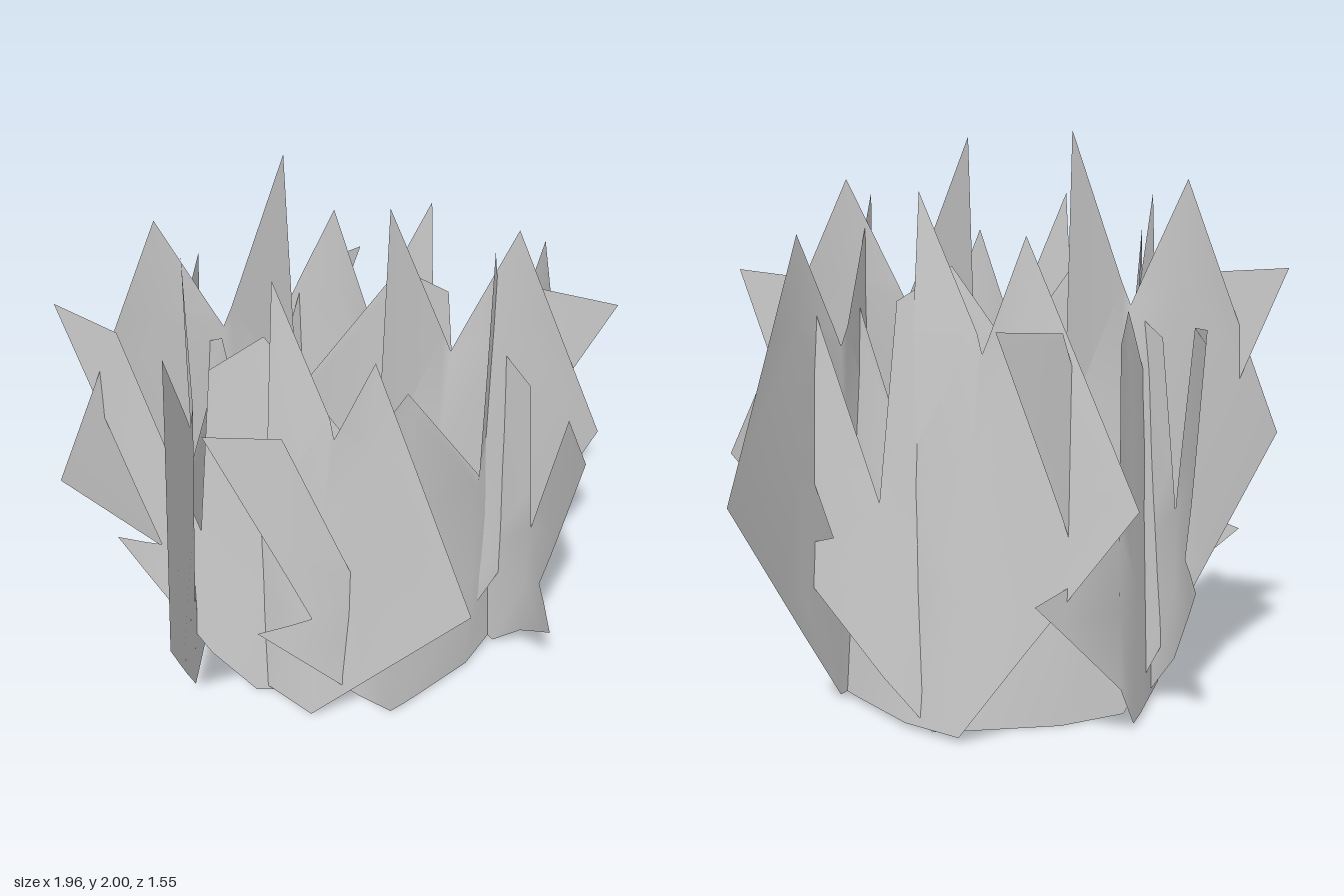
import * as THREE from 'three';
import { mergeVertices } from 'three/addons/utils/BufferGeometryUtils.js';

// Jagged leaf outline (across, up), anticlockwise from the base
const OUTLINE = [
  [-0.34, 0], [0.34, 0], [0.98, 0.94], [0.57, 1.85], [0.37, 1.43], [0.14, 2], [0.11, 1.04],
  [-0.25, 1.57], [-0.43, 1.46], [-0.5, 0.8], [-0.72, 1.53], [-0.93, 1.55], [-0.65, 0.66], [-0.82, 0.6],
];
// Bend of the leaf seen from above (across, outward at the base, inward lean per unit of height)
const BEND = [
  [-0.93, -0.09, 0.02], [-0.72, 0.068, 0.01], [-0.5, 0.235, 0.025], [-0.25, 0.265, 0.046],
  [0.1, 0.285, 0.022], [0.34, 0.228, 0.07], [0.57, 0.152, 0.025], [0.98, 0.005, 0.03],
];
const BANDS = [0, 0.5, 1, 1.5, 2];

// Outward position of a point: bend across, lean going up
function outward(u, y) {
  let i = 0;
  while (i < BEND.length - 2 && u > BEND[i + 1][0]) i++;
  const [a, wa, la] = BEND[i], [b, wb, lb] = BEND[i + 1];
  const t = (u - a) / (b - a);
  return wa + (wb - wa) * t - (la + (lb - la) * t) * y;
}

// Keep the part of a polygon on one side of a line across an axis (0 across, 1 up)
function clip(poly, axis, at, sign) {
  const out = [];
  poly.forEach((p, i) => {
    const q = poly[(i + 1) % poly.length];
    const dp = (p[axis] - at) * sign, dq = (q[axis] - at) * sign;
    if (dp >= 0) out.push(p);
    if ((dp > 0 && dq < 0) || (dp < 0 && dq > 0)) {
      const t = dp / (dp - dq);
      const cut = [p[0] + (q[0] - p[0]) * t, p[1] + (q[1] - p[1]) * t];
      cut[axis] = at;
      out.push(cut);
    }
  });
  return out;
}

// Cut the outline into cells along the bend and height, and fill each one
function leafGeometry() {
  const pos = [];
  for (let i = 0; i < BEND.length - 1; i++) {
    const strip = clip(clip(OUTLINE, 0, BEND[i][0], 1), 0, BEND[i + 1][0], -1);
    for (let j = 0; j < BANDS.length - 1; j++) {
      const cell = clip(clip(strip, 1, BANDS[j], 1), 1, BANDS[j + 1], -1);
      if (cell.length < 3) continue;
      const pts = cell.map(([u, y]) => new THREE.Vector2(u, y));
      for (const face of THREE.ShapeUtils.triangulateShape(pts, [])) {
        let [a, b, c] = face.map((k) => pts[k]);
        const area = (b.x - a.x) * (c.y - a.y) - (b.y - a.y) * (c.x - a.x);
        if (Math.abs(area) < 1e-6) continue;
        if (area < 0) [b, c] = [c, b];
        for (const p of [a, b, c]) pos.push(p.x, p.y, outward(p.x, p.y));
      }
    }
  }
  let geo = new THREE.BufferGeometry();
  geo.setAttribute('position', new THREE.Float32BufferAttribute(pos, 3));
  geo = mergeVertices(geo, 1e-4);
  geo.computeVertexNormals();
  return geo;
}

export function createModel() {
  const group = new THREE.Group();
  group.name = 'leafTuft';
  const material = new THREE.MeshStandardMaterial({ color: 0xcccccc, side: THREE.DoubleSide });
  const geometry = leafGeometry();

  // name, centre x, centre z, direction across the leaf (x, z), scale, base height
  const leaves = [
    ['frontLargeLeaf', 0, -0.06, 1, 0, 1, 0],
    ['backLargeLeaf', 0, -0.06, -1, 0.03, 1, 0],
    ['rightBackLeaf', -0.265, -0.035, -0.405, 0.912, 0.893, 0.02],
    ['rightFrontLeaf', -0.12, -0.007, 0.51, 0.862, 0.893, 0.02],
    ['leftBackLeaf', 0.265, -0.06, -0.582, -0.813, 0.893, 0.02],
    ['leftFrontLeaf', 0.27, 0.015, 0.803, -0.592, 0.893, 0.02],
  ];
  for (const [name, x, z, dx, dz, scale, y] of leaves) {
    const leaf = new THREE.Mesh(geometry, material);
    leaf.name = name;
    leaf.position.set(x, y, z);
    leaf.rotation.y = Math.atan2(-dz, dx);
    leaf.scale.setScalar(scale);
    group.add(leaf);
  }
  return group;
}
